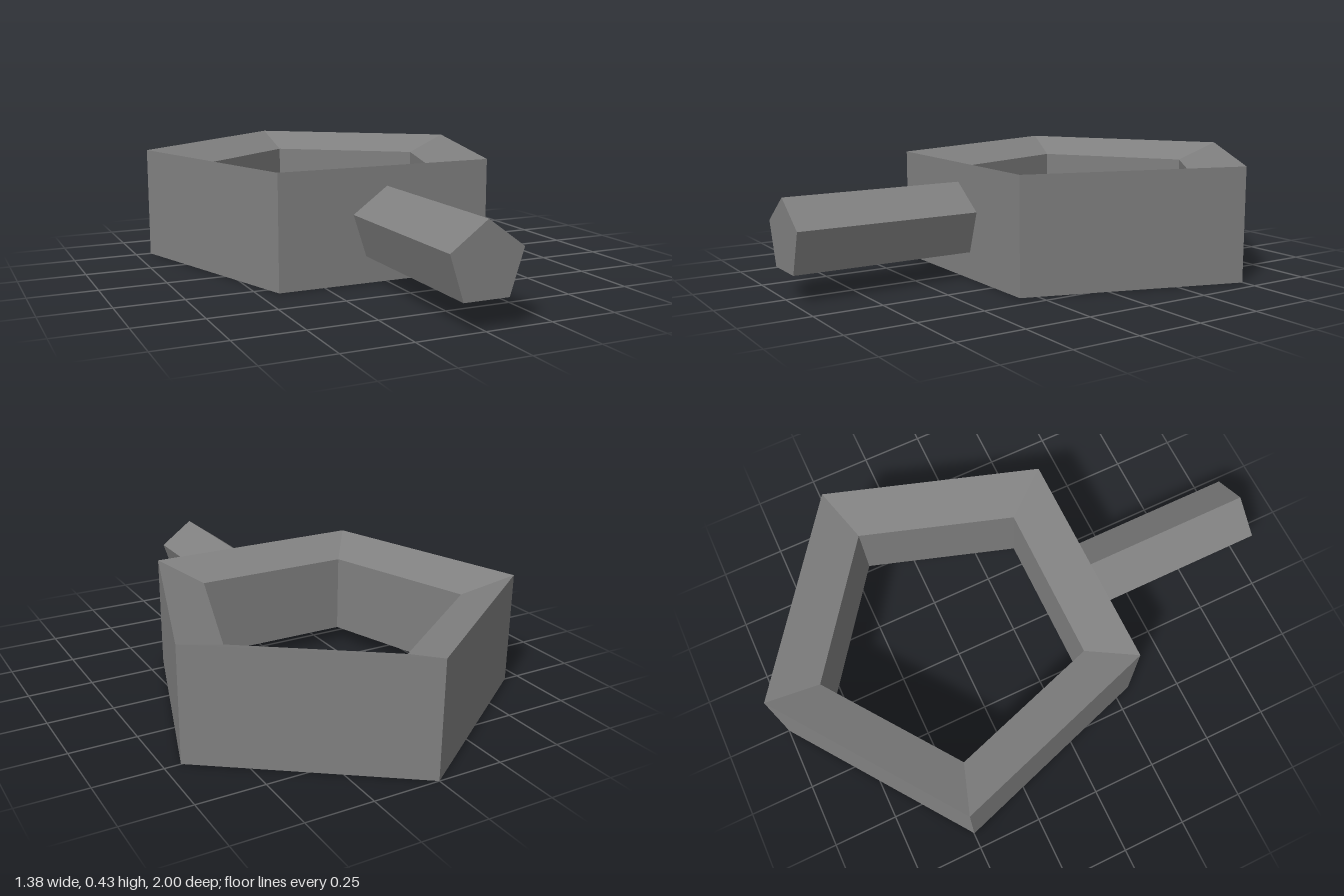
import * as THREE from 'three';

const HEIGHT = 0.433, MID = HEIGHT / 2;
const RING_Z = -0.2745;

const grey = new THREE.MeshStandardMaterial({ color: 0x808080 });
grey.name = 'grey';

// Hard-edged mesh: every face gets its own normals
function facetedMesh(name, geometry) {
  const flat = geometry.toNonIndexed();
  flat.computeVertexNormals();
  const mesh = new THREE.Mesh(flat, grey);
  mesh.name = name;
  return mesh;
}

export function createModel() {
  const model = new THREE.Group();
  model.name = 'pentagonRingWithHandle';

  // Five-sided ring: tall outer wall, shorter inner wall, rims sloping inward
  const outer = 0.7255, inner = 0.52, drop = 0.064;
  const profile = [
    [inner, drop], [outer, 0], [outer, HEIGHT], [inner, HEIGHT - drop], [inner, drop],
  ].map(([r, y]) => new THREE.Vector2(r, y));
  const ring = facetedMesh('ring', new THREE.LatheGeometry(profile, 5, Math.PI));
  ring.position.z = RING_Z;
  model.add(ring);

  // Five-sided handle, one ridge up, running from the front wall
  const start = RING_Z + outer * Math.cos(Math.PI / 5), end = 1;
  const bar = new THREE.CylinderGeometry(0.142, 0.142, end - start, 5, 1, false, Math.PI);
  bar.rotateX(Math.PI / 2);
  const handle = facetedMesh('handle', bar);
  handle.position.set(0, MID, (start + end) / 2);
  model.add(handle);

  return model;
}
